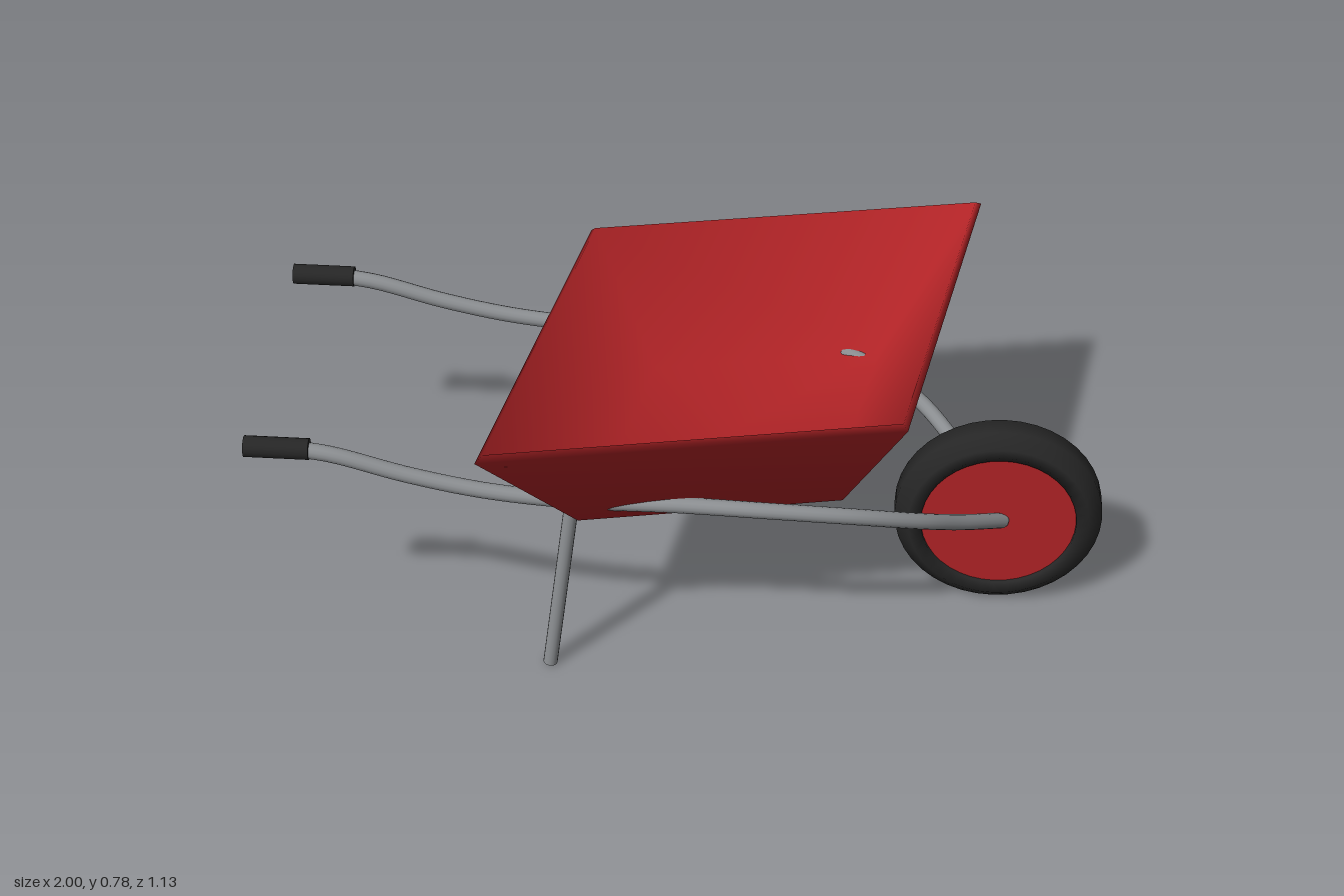
import * as THREE from 'three';

const mat = (name, color) => {
  const m = new THREE.MeshStandardMaterial({ color });
  m.name = name;
  return m;
};
const V2 = (list) => list.map(([x, y]) => new THREE.Vector2(x, y));
const V3 = (list, side) => list.map(([x, y, z]) => new THREE.Vector3(x, y, z * side));

export function createModel() {
  const red = mat('red paint', 0xb02326);
  const steel = mat('grey steel', 0x8c8f92);
  const black = mat('black rubber', 0x262626);
  const model = new THREE.Group();
  model.name = 'wheelbarrow';

  const add = (name, geometry, material) => {
    const mesh = new THREE.Mesh(geometry, material);
    mesh.name = name;
    model.add(mesh);
    return mesh;
  };
  // Round bar between two points
  const bar = (name, a, b, radius, material) => {
    const dir = b.clone().sub(a);
    const mesh = add(name, new THREE.CylinderGeometry(radius, radius, dir.length(), 16), material);
    mesh.position.copy(a).lerp(b, 0.5);
    mesh.quaternion.setFromUnitVectors(new THREE.Vector3(0, 1, 0), dir.normalize());
    return mesh;
  };

  // Tray: four-sided hollow shell, narrowed across one diagonal
  const trayProfile = V2([[0, 0.455], [0.51, 0.455], [0.797, 0.765], [0.775, 0.778], [0.46, 0.475], [0, 0.475]]);
  const tray = add('tray', new THREE.LatheGeometry(trayProfile, 4), red);
  tray.scale.z = 0.687;
  tray.rotation.y = Math.PI / 4;
  tray.position.x = 0.123;

  // Wheel: chamfered tyre around a solid disc
  const tyreProfile = V2([[0.187, -0.055], [0.218, -0.055], [0.25, -0.025], [0.25, 0.025],
    [0.218, 0.055], [0.187, 0.055], [0.187, -0.055]]);
  const tyre = add('tyre', new THREE.LatheGeometry(tyreProfile, 40), black);
  const disc = add('wheelDisc', new THREE.CylinderGeometry(0.188, 0.188, 0.09, 40), red);
  for (const part of [tyre, disc]) {
    part.rotation.x = Math.PI / 2;
    part.position.set(0.748, 0.252, 0);
  }

  // Frame: each side has a bent tube, a grip and a leg
  const path = [[-0.9, 0.63, 0.353], [-0.8, 0.615, 0.353], [-0.63, 0.565, 0.353], [-0.45, 0.527, 0.353],
    [-0.25, 0.508, 0.353], [0, 0.507, 0.355], [0.2, 0.497, 0.352], [0.4, 0.46, 0.315],
    [0.55, 0.395, 0.24], [0.65, 0.325, 0.15], [0.755, 0.252, 0.045]];
  for (const side of [1, -1]) {
    const label = side > 0 ? 'front' : 'back';
    const curve = new THREE.CatmullRomCurve3(V3(path, side));
    add(label + 'FrameTube', new THREE.TubeGeometry(curve, 60, 0.019, 14), steel);
    // Rounded tube end at the axle
    add(label + 'AxleEnd', new THREE.SphereGeometry(0.019, 14, 8), steel)
      .position.set(0.755, 0.252, 0.045 * side);
    const [g0, g1, top, foot] = V3([[-1, 0.63, 0.353], [-0.85, 0.628, 0.353],
      [-0.25, 0.508, 0.34], [-0.315, 0.004, 0.34]], side);
    bar(label + 'Grip', g0, g1, 0.025, black);
    bar(label + 'Leg', top, foot, 0.017, steel);
  }
  return model;
}
